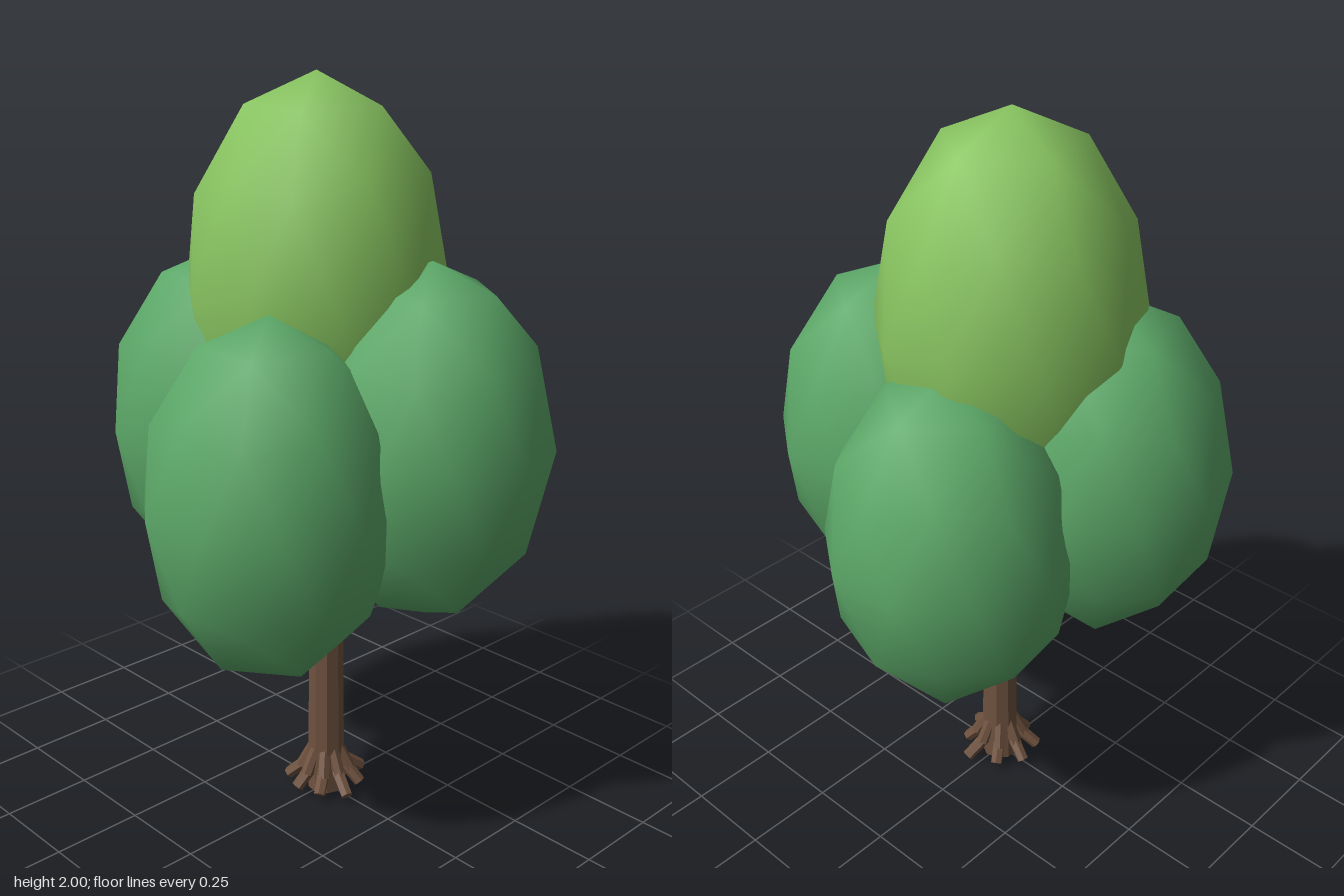
import * as THREE from 'three';

const bark = new THREE.MeshStandardMaterial({ color: 0x6f523f, flatShading: true });
const leaf = new THREE.MeshStandardMaterial({ color: 0x5ca868 });
const lightLeaf = new THREE.MeshStandardMaterial({ color: 0x88c460 });

// Tapered limb between two points
function limb(name, from, to, r0, r1, sides) {
  const dir = to.clone().sub(from);
  const geo = new THREE.CylinderGeometry(r1, r0, dir.length(), sides);
  const mesh = new THREE.Mesh(geo, bark);
  mesh.name = name;
  mesh.position.copy(from).addScaledVector(dir, 0.5);
  mesh.quaternion.setFromUnitVectors(new THREE.Vector3(0, 1, 0), dir.normalize());
  return mesh;
}

// Point at a compass angle (degrees, 0 = +x, 90 = +z), radius and height
function around(deg, radius, y) {
  const a = THREE.MathUtils.degToRad(deg);
  return new THREE.Vector3(Math.cos(a) * radius, y, Math.sin(a) * radius);
}

export function createModel() {
  const tree = new THREE.Group();
  tree.name = 'tree';

  // Trunk, running up into the foliage
  tree.add(limb('trunk', new THREE.Vector3(0, 0, 0), new THREE.Vector3(0, 0.85, 0), 0.053, 0.045, 9));

  // Roots splayed around the base, each with a flatter toe
  const roots = [[8, 0.12], [55, 0.1], [100, 0.12], [140, 0.1], [185, 0.1], [230, 0.11], [275, 0.11], [320, 0.1]];
  for (const [deg, reach] of roots) {
    const knee = around(deg, 0.07, 0.06);
    tree.add(limb('root', around(deg, 0.03, 0.14), knee, 0.016, 0.018, 6));
    tree.add(limb('rootToe', around(deg, 0.06, 0.07), around(deg + 4, reach, 0.025), 0.018, 0.017, 6));
  }

  // Branches reaching into the four side crowns
  for (const deg of [-20, 69, 160, 249]) {
    tree.add(limb('branch', around(deg, 0.02, 0.5), around(deg, 0.16, 0.72), 0.019, 0.015, 6));
  }
  for (const deg of [25, 205]) {
    tree.add(limb('twig', around(deg, 0.02, 0.55), around(deg, 0.09, 0.72), 0.014, 0.011, 6));
  }

  // Faceted ball with a corner at each pole, shared by every crown
  const ball = new THREE.IcosahedronGeometry(1, 1);
  ball.rotateZ(Math.atan(2 / (1 + Math.sqrt(5))));
  ball.rotateY(Math.PI);

  // Crowns: name, centre, radius, half height, material
  const crowns = [
    ['topCrown', [0.015, 1.46, -0.05], 0.348, 0.54, lightLeaf],
    ['frontCrown', [0.105, 1.08, 0.27], 0.327, 0.475, leaf],
    ['backCrown', [-0.105, 1.08, -0.27], 0.327, 0.475, leaf],
    ['leftCrown', [0.285, 0.97, -0.1], 0.329, 0.47, leaf],
    ['rightCrown', [-0.285, 0.976, 0.1], 0.329, 0.476, leaf],
  ];
  for (const [name, centre, r, h, material] of crowns) {
    const mesh = new THREE.Mesh(ball, material);
    mesh.name = name;
    mesh.position.set(...centre);
    mesh.scale.set(r, h, r);
    tree.add(mesh);
  }
  return tree;
}
